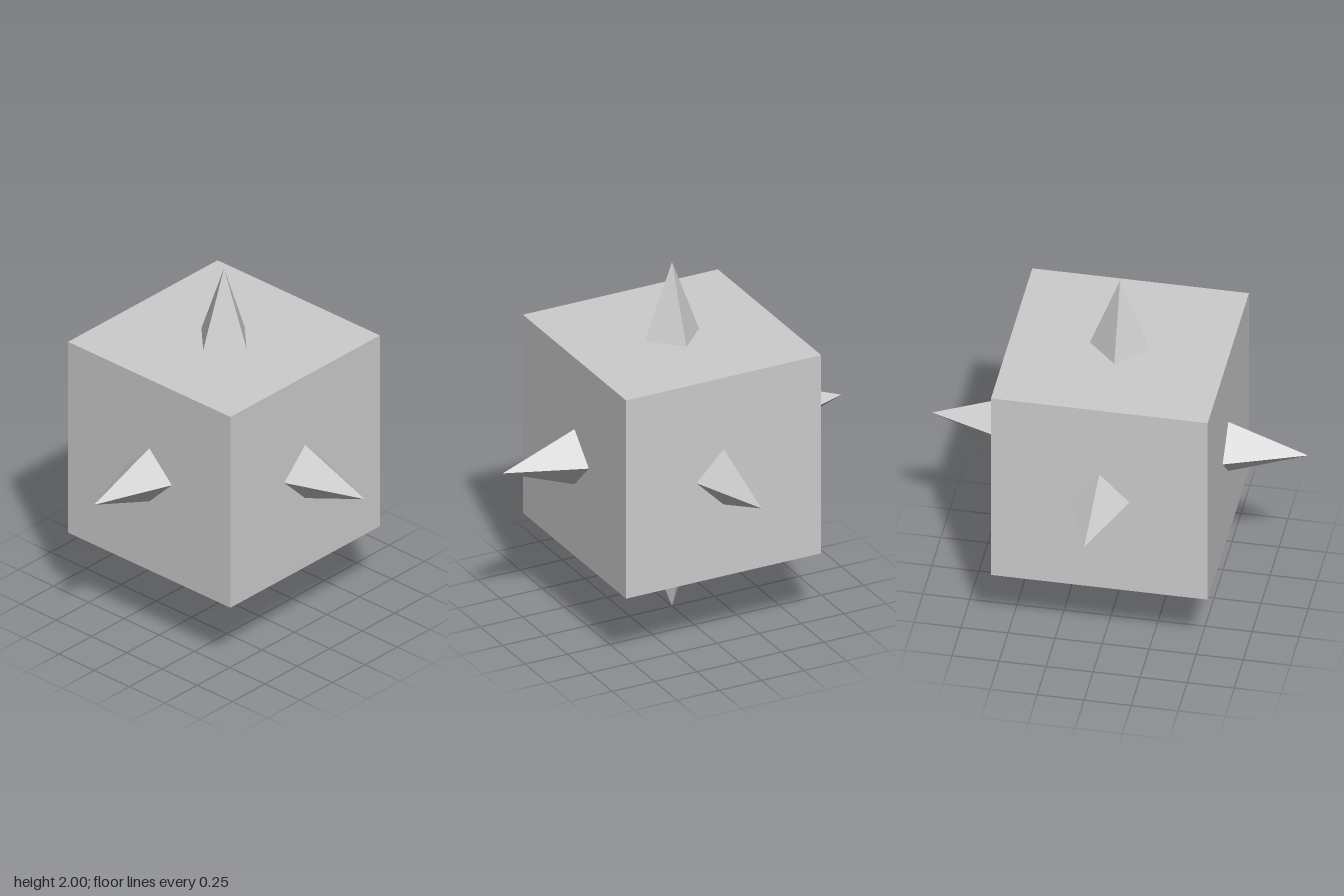
import * as THREE from 'three';

const HALF = 0.576;   // half the cube's edge
const GIRTH = 0.378;  // spike half-width at the centre

export function createModel() {
  const group = new THREE.Group();
  const grey = new THREE.MeshStandardMaterial({ color: 0xcccccc, side: THREE.DoubleSide });
  grey.name = 'plain grey';

  const add = (name, geometry) => {
    const mesh = new THREE.Mesh(geometry, grey);
    mesh.name = name;
    mesh.position.y = 1;
    group.add(mesh);
  };

  // Cube shell of five walls, open underneath
  const wall = () => new THREE.PlaneGeometry(2 * HALF, 2 * HALF).translate(0, 0, HALF);
  ['frontWall', 'leftWall', 'backWall', 'rightWall'].forEach((name, i) => {
    add(name, wall().rotateY(i * Math.PI / 2));
  });
  add('topWall', wall().rotateX(-Math.PI / 2));

  // Long double-ended spikes crossing at the centre, one along each axis
  const spike = (x, y, z) => new THREE.OctahedronGeometry(1).scale(x, y, z);
  add('sideSpikes', spike(1, GIRTH, GIRTH));
  add('verticalSpikes', spike(GIRTH, 1, GIRTH));
  add('frontBackSpikes', spike(GIRTH, GIRTH, 1));

  return group;
}
